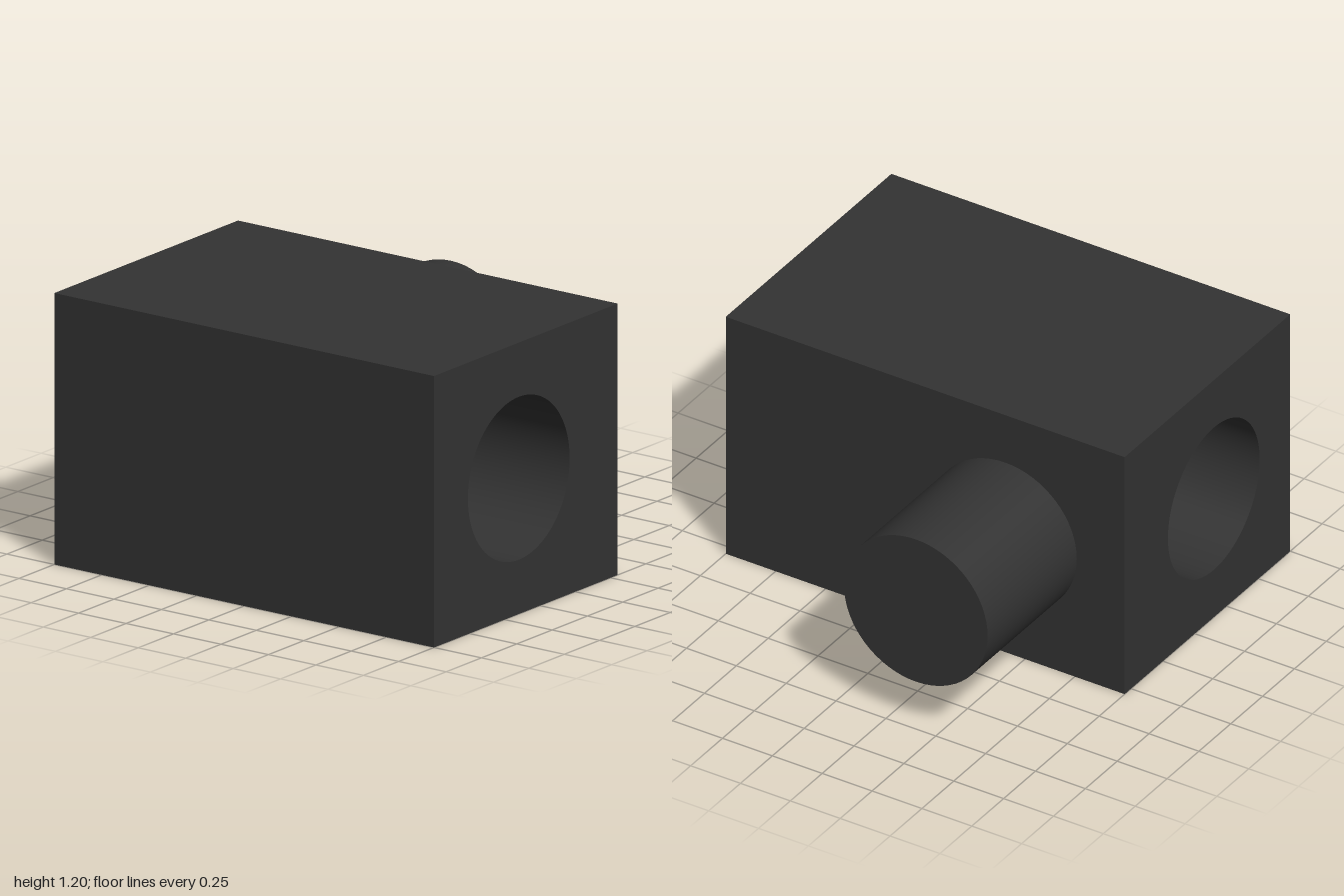
import * as THREE from 'three';
import { toCreasedNormals } from 'three/addons/utils/BufferGeometryUtils.js';

export function createModel() {
  const group = new THREE.Group();
  const material = new THREE.MeshStandardMaterial({ color: 0x333333 });
  const radius = 0.36, midHeight = 0.6;

  // Block: side profile with a round bore, extruded along x (profile x = -z)
  const profile = new THREE.Shape();
  profile.moveTo(-1, 0);
  profile.lineTo(0.3, 0);
  profile.lineTo(0.3, 1.2);
  profile.lineTo(-1, 1.2);
  profile.closePath();
  const bore = new THREE.Path();
  bore.absarc(-0.4, midHeight, radius, 0, Math.PI * 2, true);
  profile.holes.push(bore);
  const blockGeometry = new THREE.ExtrudeGeometry(profile, {
    depth: 2, bevelEnabled: false, curveSegments: 64,
  });
  blockGeometry.rotateY(Math.PI / 2).translate(-1, 0, 0);
  const block = new THREE.Mesh(toCreasedNormals(blockGeometry, Math.PI / 6), material);
  block.name = 'boredBlock';
  group.add(block);

  // Solid peg standing out of the back face
  const peg = new THREE.Mesh(new THREE.CylinderGeometry(radius, radius, 0.7, 64), material);
  peg.name = 'backPeg';
  peg.rotation.x = Math.PI / 2;
  peg.position.set(-0.4, midHeight, -0.65);
  group.add(peg);

  return group;
}
